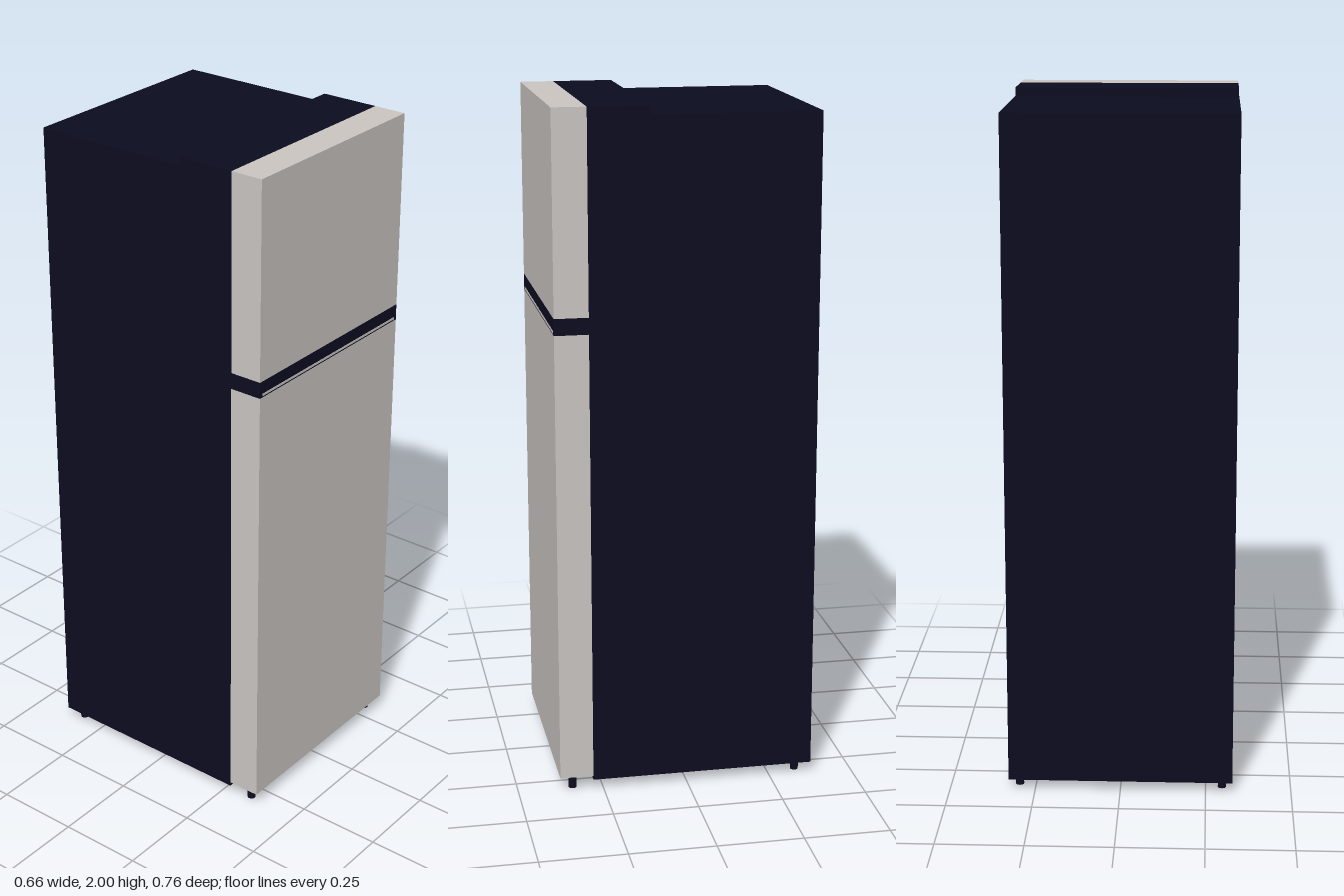
import * as THREE from 'three';

export function createModel() {
  const model = new THREE.Group();
  const panel = new THREE.MeshStandardMaterial({ color: 0xcac5c1 });
  panel.name = 'warm grey panel';
  const navy = new THREE.MeshStandardMaterial({ color: 0x0c0c20 });
  navy.name = 'dark navy casing';

  // Box given by its lower and upper limits on each axis
  function box(name, material, [x0, x1], [y0, y1], [z0, z1]) {
    const mesh = new THREE.Mesh(new THREE.BoxGeometry(x1 - x0, y1 - y0, z1 - z0), material);
    mesh.position.set((x0 + x1) / 2, (y0 + y1) / 2, (z0 + z1) / 2);
    mesh.name = name;
    model.add(mesh);
  }

  const width = [-0.328, 0.328];
  const doorWidth = [-0.327, 0.327];
  const doorDepth = [0.28, 0.378];

  // Cabinet and the raised hinge cover behind the upper door
  box('cabinet', navy, width, [0.03, 1.975], [-0.378, 0.28]);
  box('hingeCover', navy, doorWidth, [1.975, 2], [0.105, 0.28]);

  // Freezer door above, fridge door below
  box('upperDoor', panel, doorWidth, [1.42, 2], doorDepth);
  box('lowerDoor', panel, doorWidth, [0.042, 1.372], doorDepth);

  // Dark grip band between the doors, with a light lip along its lower edge
  box('gripBand', navy, doorWidth, [1.372, 1.42], doorDepth);
  box('gripLip', panel, [-0.315, 0.315], [1.376, 1.383], [0.376, 0.379]);

  // Four levelling feet
  for (const x of [-0.298, 0.298]) {
    for (const z of [-0.335, 0.338]) {
      const foot = new THREE.Mesh(new THREE.CylinderGeometry(0.012, 0.012, 0.044, 16), navy);
      foot.position.set(x, 0.022, z);
      foot.name = 'foot';
      model.add(foot);
    }
  }
  return model;
}
